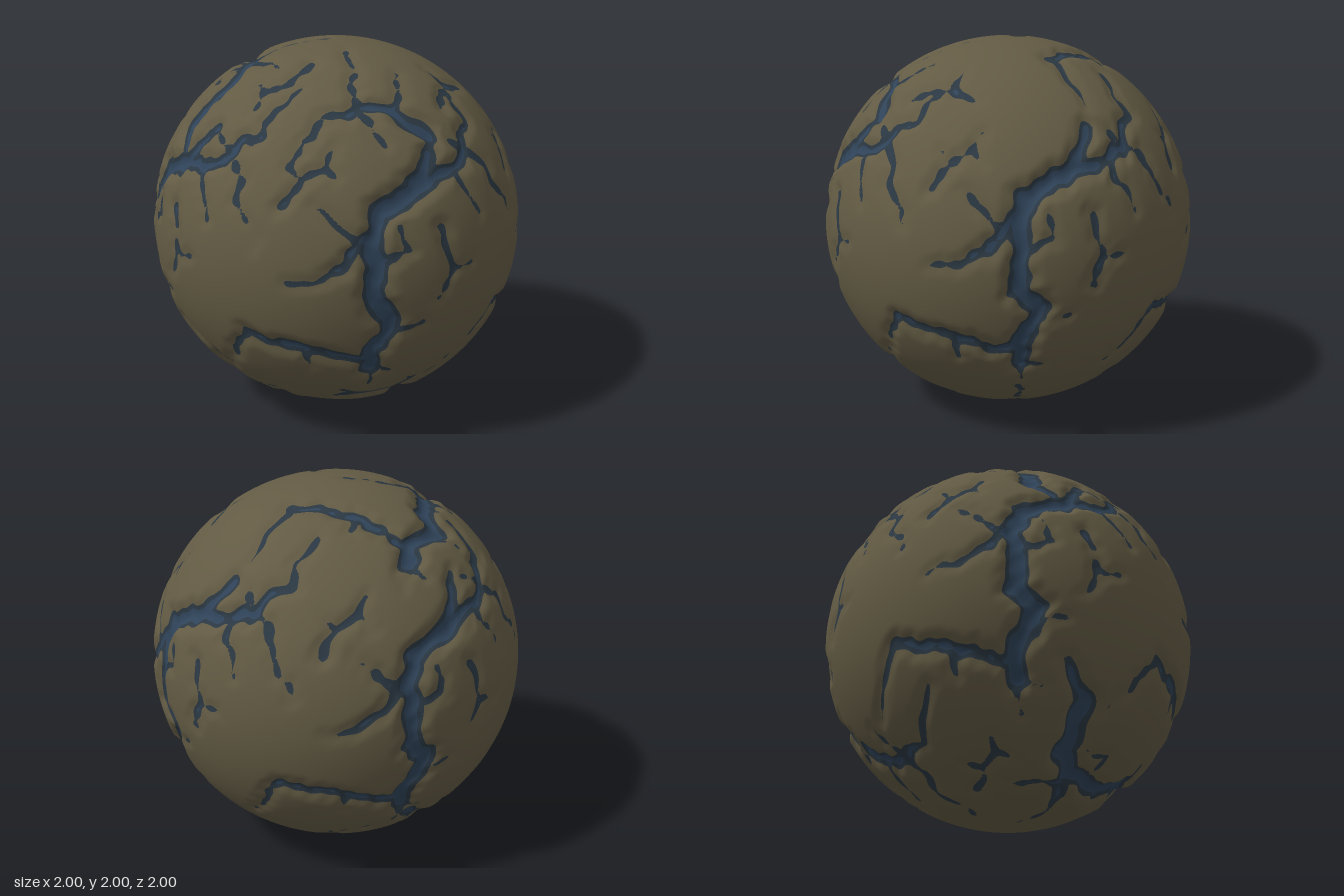
import * as THREE from 'three';
import { mergeVertices } from 'three/addons/utils/BufferGeometryUtils.js';

// Crack network of one face of the ball. Each path lists [across, up] pairs.
// Wide cracks run from half width `from` to half width `to`.
const WIDE = [
  { from: .058, to: .055, path: [.65, .46, .47, .34, .46, .2, .48, 0, .47, -.12, .55, -.22, .43, -.43, .41, -.55] },
  { from: .045, to: .03, path: [.65, .46, .63, .64] },
  { from: .034, to: .01, path: [.44, .26, .33, .09, .2, .02, .05, -.01] },
  { from: .042, to: .013, path: [.42, -.47, .13, -.39, -.18, -.32, -.24, -.4, -.35, -.6] },
  { from: .044, to: .013, path: [-.63, .44, -.42, .49, -.31, .54, -.25, .62, -.14, .65, -.12, .74, -.02, .84] },
];
// Twigs all taper the same way
const TWIGS = [
  [.5, -.3, .66, -.25], [.5, .1, .61, .14, .57, .27], [.41, -.53, .38, -.67], [.41, -.53, .5, -.56],
  [.38, .21, .28, .3, .18, .37], [.13, -.4, .13, -.5], [-.3, .55, -.44, .65],
  [-.28, .52, -.22, .45, -.22, .35, -.13, .24, -.11, .17], [-.45, .48, -.45, .38, -.4, .24],
  [.02, .36, .09, .48, .04, .53], [.09, .49, .2, .54, .22, .62], [.2, .54, .25, .49],
  [-.63, .24, -.6, .03, -.5, .02], [-.6, .03, -.65, -.12],
];

// How the network turns onto the six faces: front, right, back, left, top, bottom
const FACES = [
  (u, v, w) => [u, v, w], (u, v, w) => [w, v, -u], (u, v, w) => [-u, v, -w],
  (u, v, w) => [-w, v, u], (u, v, w) => [-u, w, v], (u, v, w) => [-v, -w, u],
];

// All cracks as tapering segments on the unit ball
function crackSegments() {
  const cracks = [...WIDE, ...TWIGS.map(path => ({ from: .024, to: .011, path }))];
  const list = [];
  for (const face of FACES) for (const { from, to, path } of cracks) {
    const count = path.length / 2 - 1, pts = [];
    for (let i = 0; i <= count; i++) {
      const u = path[2 * i], v = path[2 * i + 1];
      pts.push(face(u, v, Math.sqrt(1 - u * u - v * v)));
    }
    for (let i = 0; i < count; i++) {
      const a = pts[i], d = pts[i + 1].map((c, k) => c - a[k]);
      const width = s => from + (to - from) * s / count;
      list.push({ a, d, len: d[0] ** 2 + d[1] ** 2 + d[2] ** 2, h0: width(i), h1: width(i + 1) });
    }
  }
  return list;
}

// Distance to the nearest crack edge (negative inside) and the depth of the groove
function sample(segments, x, y, z) {
  const px = x + .01 * Math.sin(31 * y + 17 * z);
  const py = y + .01 * Math.sin(29 * z + 19 * x + 1);
  const pz = z + .01 * Math.sin(33 * x + 15 * y + 2);
  const rough = .004 * (Math.sin(67 * x + 41 * y) + Math.sin(59 * y - 47 * z + 1) + Math.sin(71 * z + 37 * x));
  let edge = 1, depth = 0;
  for (const { a, d, len, h0, h1 } of segments) {
    const qx = px - a[0], qy = py - a[1], qz = pz - a[2];
    const t = Math.min(1, Math.max(0, (qx * d[0] + qy * d[1] + qz * d[2]) / len));
    const h = h0 + (h1 - h0) * t;
    const f = Math.hypot(qx - d[0] * t, qy - d[1] * t, qz - d[2] * t) - h + rough;
    edge = Math.min(edge, f);
    if (f < .06) depth = Math.max(depth, .8 * h * (1 - THREE.MathUtils.smoothstep(f, -h, .06)));
  }
  return { edge, depth };
}

// Keep the side of a polygon where sign * (edge - level) is positive
function clip(poly, level, sign) {
  const out = [];
  poly.forEach((p, i) => {
    const q = poly[(i + 1) % poly.length];
    const a = sign * (p[6] - level), b = sign * (q[6] - level);
    if (a >= 0) out.push(p);
    if ((a >= 0) !== (b >= 0)) out.push(p.map((c, k) => c + (q[k] - c) * a / (a - b)));
  });
  return out;
}

export function createModel() {
  const group = new THREE.Group();
  group.name = 'crackedBall';

  // Even ball made from a rounded-out cube, with grooves pressed in
  const n = 84;
  let ball = new THREE.BoxGeometry(2, 2, 2, n, n, n);
  ball.deleteAttribute('uv');
  ball.deleteAttribute('normal');
  ball = mergeVertices(ball, 1e-4);
  const pos = ball.attributes.position, edges = [], segments = crackSegments(), p = new THREE.Vector3();
  for (let i = 0; i < pos.count; i++) {
    p.fromBufferAttribute(pos, i);
    p.set(...p.toArray().map(c => Math.tan(c * Math.PI / 4))).normalize();
    const { edge, depth } = sample(segments, p.x, p.y, p.z);
    edges.push(edge);
    p.multiplyScalar(1 - depth);
    pos.setXYZ(i, p.x, p.y, p.z);
  }
  ball.computeVertexNormals();

  // Cut the surface along the crack edges into stone, crack wall and crack floor
  const nor = ball.attributes.normal, index = ball.index;
  const corner = i => [pos.getX(i), pos.getY(i), pos.getZ(i), nor.getX(i), nor.getY(i), nor.getZ(i), edges[i]];
  const parts = [
    { name: 'stoneShell', color: 0x625a43, cut: t => clip(t, 0, 1) },
    { name: 'crackWall', color: 0x2b3843, cut: t => clip(clip(t, 0, -1), -.02, 1) },
    { name: 'crackFloor', color: 0x2f4359, cut: t => clip(t, -.02, -1) },
  ];
  for (const { name, color, cut } of parts) {
    const position = [], normal = [];
    for (let i = 0; i < index.count; i += 3) {
      const poly = cut([0, 1, 2].map(k => corner(index.getX(i + k))));
      for (let k = 2; k < poly.length; k++) for (const c of [poly[0], poly[k - 1], poly[k]]) {
        position.push(c[0], c[1], c[2]);
        normal.push(c[3], c[4], c[5]);
      }
    }
    const geometry = new THREE.BufferGeometry();
    geometry.setAttribute('position', new THREE.Float32BufferAttribute(position, 3));
    geometry.setAttribute('normal', new THREE.Float32BufferAttribute(normal, 3));
    const material = new THREE.MeshStandardMaterial({ color });
    material.name = name + 'Colour';
    const mesh = new THREE.Mesh(geometry, material);
    mesh.name = name;
    mesh.position.y = 1;
    group.add(mesh);
  }
  return group;
}
